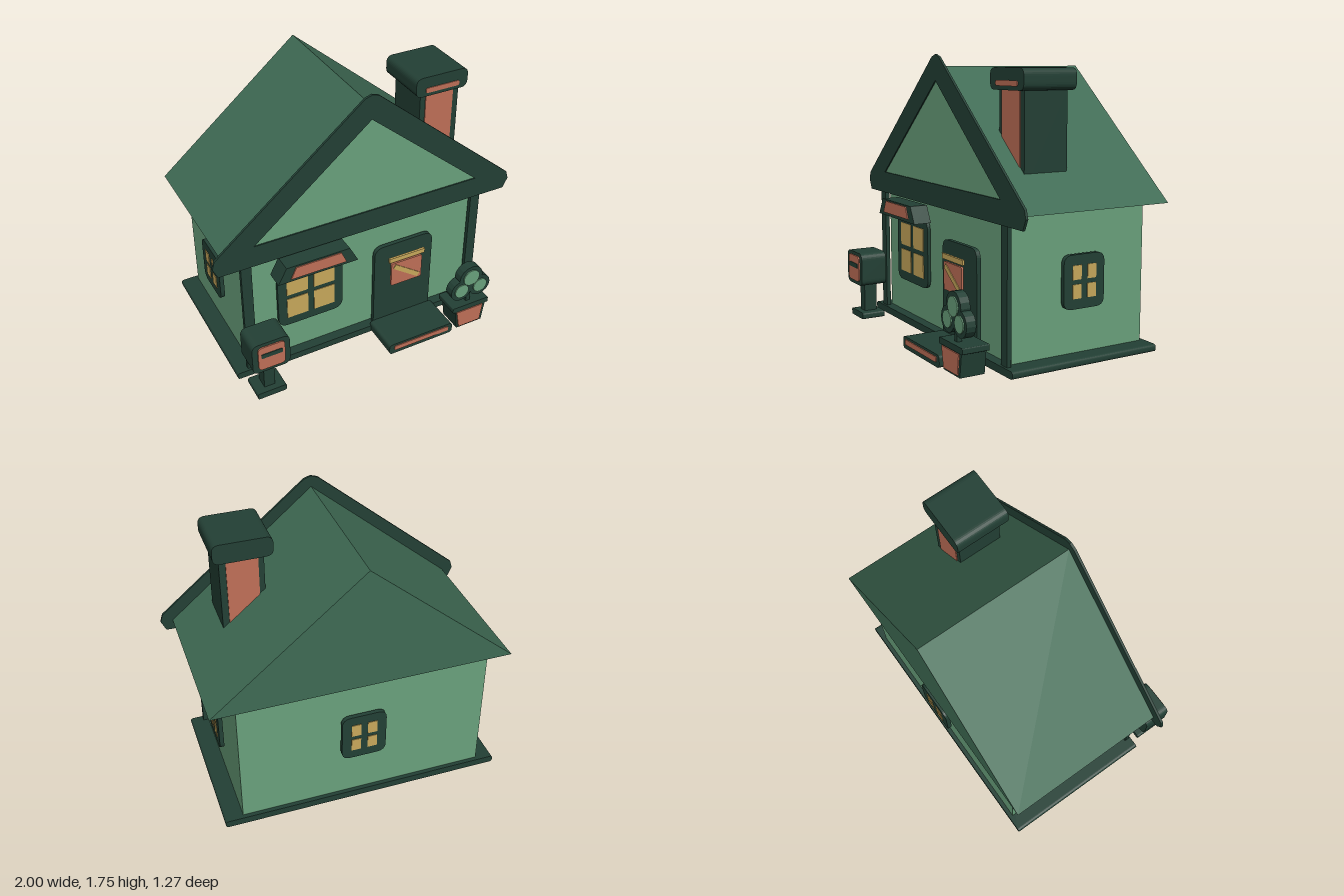
import * as THREE from 'three';

const material = (name, color) => {
  const m = new THREE.MeshStandardMaterial({ color });
  m.name = name;
  return m;
};

// Outline through a list of [x, y] corners
function poly(points) {
  return new THREE.Shape(points.map(([x, y]) => new THREE.Vector2(x, y)));
}

// Rectangle with rounded corners: top radius rt, bottom radius rb
function rounded(x0, x1, y0, y1, rt, rb = rt) {
  const s = new THREE.Shape();
  s.moveTo(x0 + rb, y0);
  s.lineTo(x1 - rb, y0);
  if (rb) s.quadraticCurveTo(x1, y0, x1, y0 + rb);
  s.lineTo(x1, y1 - rt);
  if (rt) s.quadraticCurveTo(x1, y1, x1 - rt, y1);
  s.lineTo(x0 + rt, y1);
  if (rt) s.quadraticCurveTo(x0, y1, x0, y1 - rt);
  s.lineTo(x0, y0 + rb);
  if (rb) s.quadraticCurveTo(x0, y0, x0 + rb, y0);
  return s;
}

function disc(x, y, r) {
  const s = new THREE.Shape();
  s.absarc(x, y, r, 0, Math.PI * 2);
  return s;
}

export function createModel() {
  const root = new THREE.Group();
  root.name = 'cottage';
  const dark = material('dark green trim', 0x234035);
  const light = material('light green wall', 0x6aa27d);
  const roofGreen = material('roof green', 0x3f6b54);
  const clay = material('clay orange', 0xc07058);
  const gold = material('warm yellow', 0xc9a95c);

  // Extrude an outline from z0 to z1
  function slab(name, shape, z0, z1, mat, parent = root) {
    const g = new THREE.ExtrudeGeometry(shape, { depth: z1 - z0, bevelEnabled: false, curveSegments: 8 });
    g.translate(0, 0, z0);
    const mesh = new THREE.Mesh(g, mat);
    mesh.name = name;
    parent.add(mesh);
    return mesh;
  }
  const block = (name, x0, x1, y0, y1, z0, z1, mat) => slab(name, rounded(x0, x1, y0, y1, 0), z0, z1, mat);

  // Rounded frame with four panes, centred on its own origin and facing +z
  function windowUnit(name, w, h, r, paneW, paneH, dx, dy, depth) {
    const g = new THREE.Group();
    g.name = name;
    slab('windowFrame', rounded(-w / 2, w / 2, -h / 2, h / 2, r), 0, depth, dark, g);
    for (const sx of [-1, 1]) for (const sy of [-1, 1]) {
      const x = sx * dx, y = sy * dy;
      slab('windowPane', rounded(x - paneW / 2, x + paneW / 2, y - paneH / 2, y + paneH / 2, 0),
        depth, depth + 0.004, gold, g);
    }
    root.add(g);
    return g;
  }

  // House body
  slab('base', rounded(-0.905, 0.88, 0.005, 0.05, 0.02), -0.61, 0.39, dark);
  block('walls', -0.795, 0.765, 0.05, 0.9, -0.583, 0.326, light);
  block('rightCornerPost', -0.83, -0.765, 0.05, 0.9, 0.348, 0.375, dark);
  block('leftCornerPost', 0.735, 0.8, 0.05, 0.9, 0.348, 0.375, dark);

  // Roof and front gable
  slab('roof', poly([[-0.925, 0.9], [0.925, 0.9], [0, 1.68]]), -0.637, 0.373, roofGreen);
  const gable = poly([[0, 1.75], [-0.045, 1.735], [-0.985, 0.95], [-1, 0.9], [-0.97, 0.835],
    [0.97, 0.835], [1, 0.9], [0.985, 0.95], [0.045, 1.735]]);
  gable.holes.push(new THREE.Path([[0, 1.595], [0.745, 0.973], [-0.745, 0.973]].map(p => new THREE.Vector2(...p))));
  slab('gableFrame', gable, 0.372, 0.387, dark);
  slab('gablePanel', poly([[-0.76, 0.965], [0.76, 0.965], [0, 1.605]]), 0.373, 0.379, light);

  // Chimney
  block('chimneyShaft', 0.43, 0.695, 1.0, 1.56, -0.083, 0.202, dark);
  block('chimneyFrontPanel', 0.465, 0.655, 1.05, 1.55, 0.202, 0.208, clay);
  block('chimneyBackPanel', 0.465, 0.655, 1.05, 1.55, -0.089, -0.083, clay);
  slab('chimneyCap', rounded(0.38, 0.735, 1.55, 1.675, 0.045), -0.117, 0.233, dark);
  slab('chimneyCapStripe', rounded(0.445, 0.675, 1.573, 1.605, 0.014), 0.233, 0.238, clay);

  // Windows
  windowUnit('frontWindow', 0.435, 0.44, 0.065, 0.14, 0.145, 0.09, 0.0875, 0.02).position.set(-0.387, 0.5, 0.342);
  const small = name => windowUnit(name, 0.28, 0.315, 0.055, 0.06, 0.083, 0.051, 0.055, 0.027);
  const left = small('leftWindow');
  left.position.set(0.785, 0.478, -0.13);
  left.rotation.y = Math.PI / 2;
  const right = small('rightWindow');
  right.position.set(-0.812, 0.478, -0.13);
  right.rotation.y = -Math.PI / 2;
  const back = small('backWindow');
  back.position.set(0.005, 0.515, -0.602);
  back.rotation.y = Math.PI;

  // Awning over the front window
  slab('awning', poly([[-0.645, 0.715], [-0.125, 0.715], [-0.18, 0.82], [-0.59, 0.82]]), 0.36, 0.475, dark);
  slab('awningPanel', poly([[-0.565, 0.735], [-0.205, 0.735], [-0.238, 0.81], [-0.53, 0.81]]), 0.475, 0.482, clay);

  // Door with its hanging sign and step
  slab('door', rounded(0.05, 0.465, 0.05, 0.65, 0.065, 0), 0.345, 0.372, dark);
  slab('doorSign', rounded(0.147, 0.367, 0.36, 0.532, 0.012), 0.403, 0.417, clay);
  slab('doorSignStripe', poly([[0.158, 0.495], [0.335, 0.37], [0.353, 0.397], [0.176, 0.522]]), 0.417, 0.421, gold);
  block('doorBar', 0.13, 0.383, 0.546, 0.578, 0.405, 0.42, gold);
  slab('doorStep', rounded(0.025, 0.49, 0.0, 0.075, 0.025), 0.375, 0.63, dark);
  slab('doorStepStripe', rounded(0.058, 0.458, 0.028, 0.06, 0.012), 0.63, 0.636, clay);

  // Mailbox
  slab('mailboxFoot', rounded(-0.86, -0.67, 0.0, 0.042, 0.015), 0.44, 0.595, dark);
  block('mailboxPost', -0.8, -0.73, 0.04, 0.24, 0.47, 0.555, dark);
  slab('mailboxBody', rounded(-0.885, -0.645, 0.23, 0.448, 0.045), 0.435, 0.608, dark);
  slab('mailboxFront', rounded(-0.85, -0.68, 0.255, 0.425, 0.03), 0.608, 0.616, clay);
  slab('mailboxSlot', rounded(-0.832, -0.697, 0.345, 0.375, 0.01), 0.616, 0.62, dark);

  // Potted plant
  slab('potBody', poly([[0.53, 0.01], [0.72, 0.01], [0.74, 0.155], [0.51, 0.155]]), 0.47, 0.625, dark);
  slab('potPanel', poly([[0.542, 0.022], [0.702, 0.022], [0.718, 0.145], [0.52, 0.145]]), 0.625, 0.632, clay);
  slab('potRim', rounded(0.49, 0.757, 0.15, 0.187, 0.008), 0.46, 0.63, dark);
  block('plantStem', 0.607, 0.637, 0.18, 0.34, 0.565, 0.595, dark);
  for (const [x, y, r] of [[0.622, 0.388, 0.085], [0.555, 0.302, 0.077], [0.693, 0.302, 0.077]]) {
    slab('leafRim', disc(x, y, r), 0.55, 0.61, dark);
    slab('leafFace', disc(x, y, r - 0.027), 0.61, 0.617, light);
  }
  return root;
}
